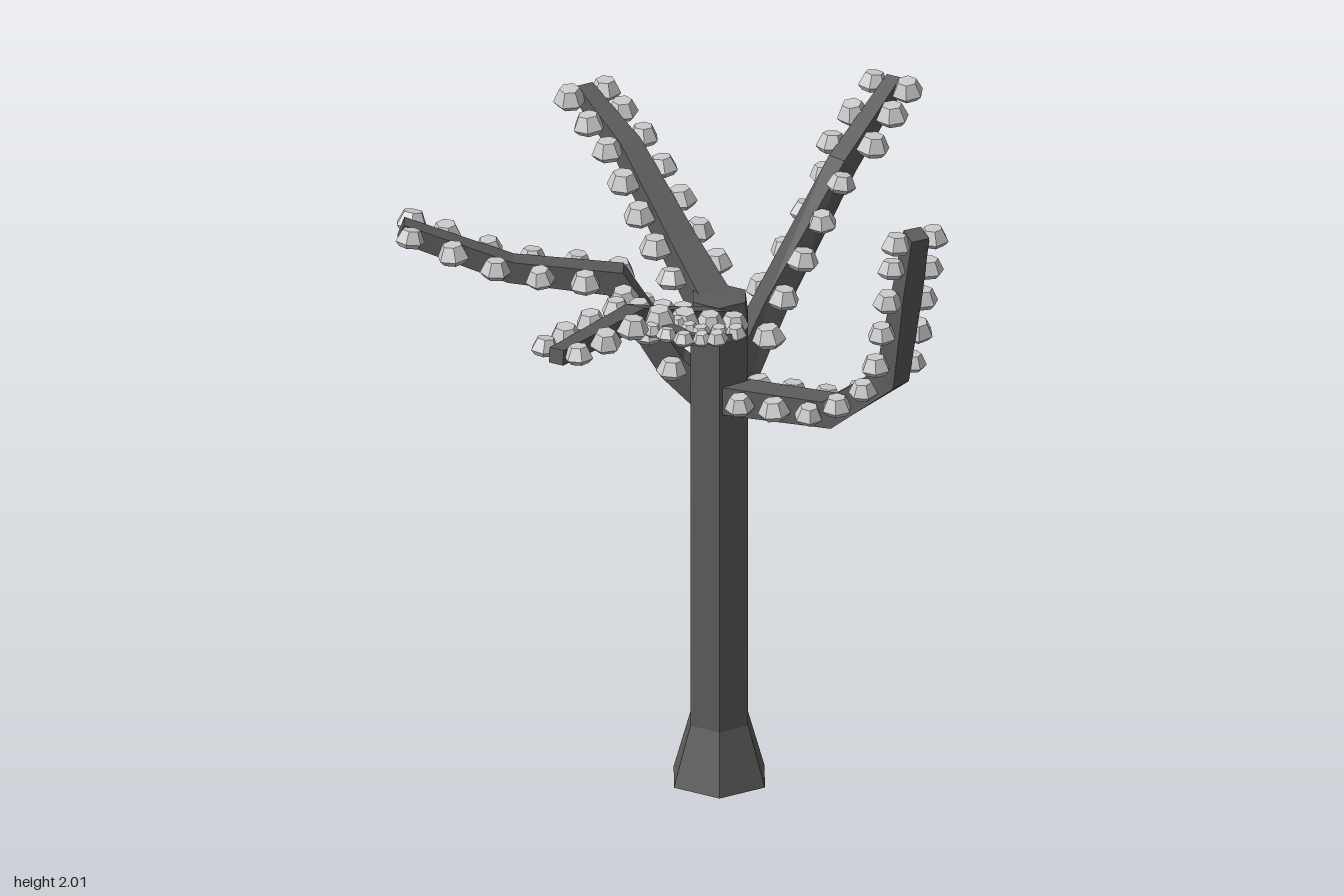
import * as THREE from 'three';

const bark = new THREE.MeshStandardMaterial({ color: 0x5c5c5c, flatShading: true, side: THREE.DoubleSide });
const petal = new THREE.MeshStandardMaterial({ color: 0xcccccc, flatShading: true });

// Small seeded generator for the blossoms' turn
let seed = 7;
const rand = () => (seed = (seed * 16807) % 2147483647) / 2147483647;

// Horizontal direction across a branch
const acrossOf = (dir) => new THREE.Vector3(-dir.z, 0, dir.x).normalize();

// Square tapered limb with mitred bends along a list of points
function limb(points, w0, w1) {
  const pos = [], index = [], last = points.length - 1;
  points.forEach((p, i) => {
    const a = points[Math.max(i - 1, 0)], b = points[Math.min(i + 1, last)];
    const into = p.clone().sub(a).normalize(), out = b.clone().sub(p).normalize();
    const dir = into.clone().add(out).normalize();
    const across = acrossOf(dir);
    const up = new THREE.Vector3().crossVectors(across, dir).normalize();
    const h = THREE.MathUtils.lerp(w0, w1, i / last) / 2;
    const miter = i > 0 && i < last ? 1 / Math.max(0.7, dir.dot(out)) : 1;
    for (const [s, t] of [[-1, -1], [1, -1], [1, 1], [-1, 1]]) {
      const v = p.clone().addScaledVector(across, s * h).addScaledVector(up, t * h * miter);
      pos.push(v.x, v.y, v.z);
    }
  });
  for (let i = 0; i < last; i++) {
    for (let k = 0; k < 4; k++) {
      const a = i * 4 + k, b = i * 4 + (k + 1) % 4;
      index.push(a, b, b + 4, a, b + 4, a + 4);
    }
  }
  const e = last * 4;
  index.push(0, 2, 1, 0, 3, 2, e, e + 1, e + 2, e, e + 2, e + 3);
  const geo = new THREE.BufferGeometry();
  geo.setAttribute('position', new THREE.Float32BufferAttribute(pos, 3));
  geo.setIndex(index);
  const flat = geo.toNonIndexed();
  flat.computeVertexNormals();
  return new THREE.Mesh(flat, bark);
}

// Faceted blossom: wide belt, narrow flat top
const blossomShape = new THREE.LatheGeometry(
  [[0, -0.028], [0.034, -0.028], [0.048, -0.012], [0.029, 0.028], [0, 0.028]].map((p) => new THREE.Vector2(...p)), 6);

// Point and direction at a fraction of the path's length
function along(points, f) {
  const lengths = points.slice(1).map((p, i) => p.distanceTo(points[i]));
  let d = f * lengths.reduce((a, b) => a + b, 0), i = 0;
  while (i < lengths.length - 1 && d > lengths[i]) d -= lengths[i++];
  const dir = points[i + 1].clone().sub(points[i]).normalize();
  return { p: points[i].clone().addScaledVector(dir, d), dir };
}

// path: [x, y, z] points; w: start and end width; n: blossoms per side; size: blossom scale
const branches = [
  { name: 'backRightBranch', w: [0.1, 0.05], n: 7, size: 1, from: 0.15,
    path: [[0.01, 1.43, -0.24], [-0.17, 1.55, -0.35], [-0.42, 1.73, -0.5], [-0.635, 1.815, -0.62]] },
  { name: 'frontRightBranch', w: [0.09, 0.055], n: 8, size: 0.95, from: 0.12,
    path: [[0.0, 1.2, -0.2], [-0.08, 1.28, -0.16], [-0.22, 1.54, -0.08], [-0.48, 1.57, 0.06], [-0.755, 1.685, 0.205]] },
  { name: 'leftBranch', w: [0.085, 0.055], n: 10, size: 0.92, from: 0.08,
    path: [[0.05, 1.2, -0.19], [0.43, 1.24, -0.18], [0.63, 1.4, -0.165], [0.7, 1.7, -0.13], [0.745, 1.89, -0.1]] },
  { name: 'backBranch', w: [0.09, 0.045], n: 8, size: 0.97, from: 0.13,
    path: [[0.06, 1.22, -0.26], [0.13, 1.45, -0.36], [0.27, 1.84, -0.51], [0.27, 1.975, -0.81]] },
  { name: 'frontBranch', w: [0.085, 0.045], n: 7, size: 0.95, from: 0.1,
    path: [[0.065, 1.42, -0.2], [0.08, 1.5, -0.02], [0.08, 1.66, 0.34], [0.08, 1.71, 0.78]] },
  { name: 'frontTwig', w: [0.045, 0.022], n: 5, size: 0.65, from: 0.2,
    path: [[0.08, 1.6, 0.25], [0.29, 1.66, 0.4], [0.47, 1.735, 0.48]] },
];

function makeBranch({ name, path, w, n, size, from }) {
  const group = new THREE.Group();
  group.name = name;
  const points = path.map((p) => new THREE.Vector3(...p));
  const wood = limb(points, ...w);
  wood.name = 'limb';
  group.add(wood);
  // Blossoms in a row down each side
  for (const side of [-1, 1]) {
    for (let i = 0; i < n; i++) {
      const f = from + (0.97 - from) * (i + (side > 0 && i < n - 1 ? 0.2 : 0)) / (n - 1);
      const { p, dir } = along(points, f);
      const width = THREE.MathUtils.lerp(w[0], w[1], f);
      const blossom = new THREE.Mesh(blossomShape, petal);
      blossom.name = 'blossom';
      blossom.position.copy(p).addScaledVector(acrossOf(dir), side * (width / 2 + 0.033 * size));
      blossom.position.y += 0.012;
      blossom.rotation.set((rand() - 0.5) * 0.25, rand() * Math.PI, (rand() - 0.5) * 0.25);
      blossom.scale.setScalar(size * (0.92 + rand() * 0.14));
      group.add(blossom);
    }
  }
  return group;
}

export function createModel() {
  const tree = new THREE.Group();
  tree.name = 'tree';

  // Six-sided trunk with a flared foot, open underneath
  const profile = [[0.148, 0], [0.094, 0.18], [0.094, 1.42], [0.085, 1.49], [0, 1.49]].map((p) => new THREE.Vector2(...p));
  const trunk = new THREE.Mesh(new THREE.LatheGeometry(profile, 6, Math.PI / 2), bark);
  trunk.name = 'trunk';
  trunk.position.set(0.036, 0, -0.22);
  tree.add(trunk);

  branches.forEach((b) => tree.add(makeBranch(b)));
  return tree;
}
